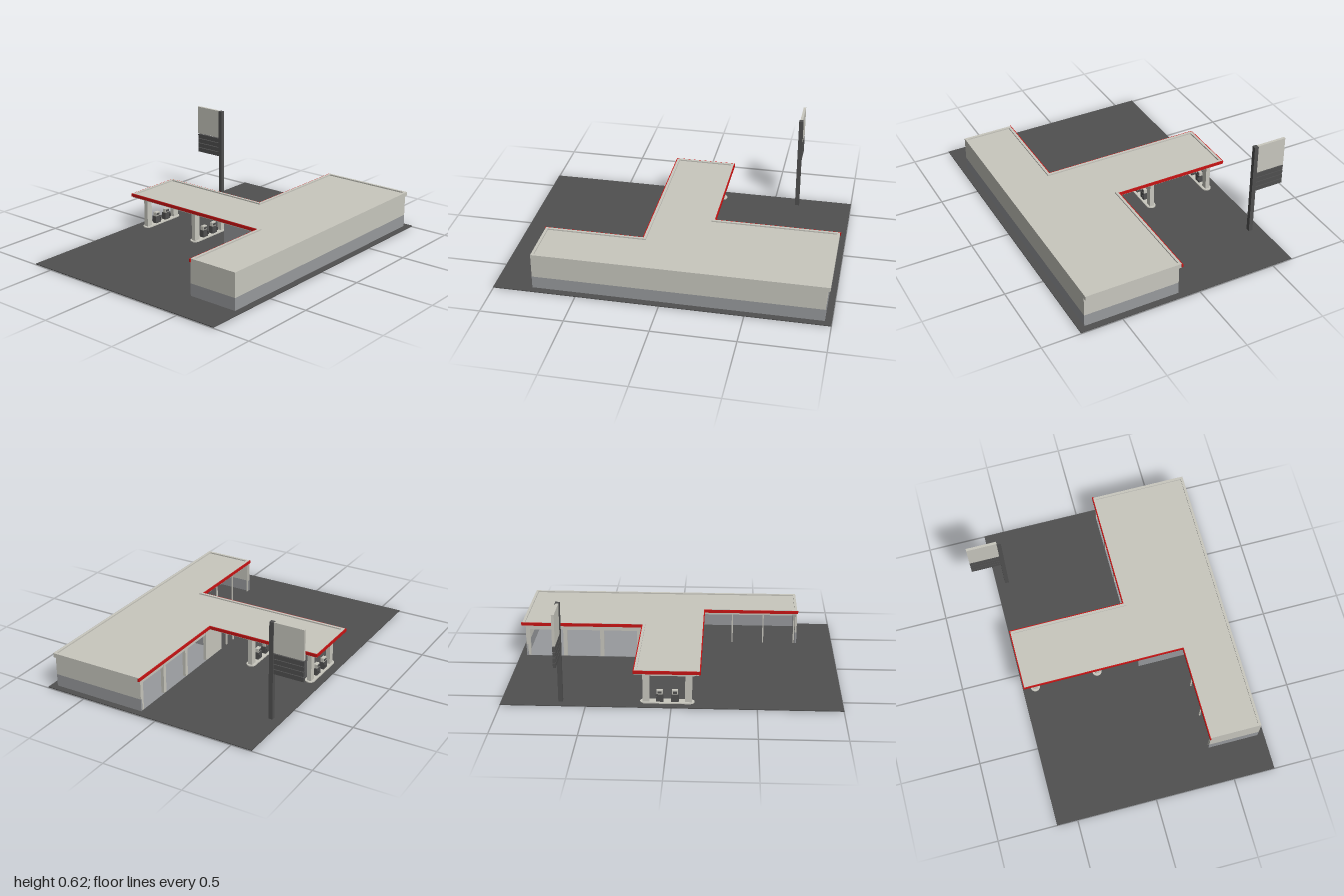
import * as THREE from 'three';

export function createModel() {
  const model = new THREE.Group();
  model.name = 'fillingStation';
  const mat = (name, color) => {
    const m = new THREE.MeshStandardMaterial({ color });
    m.name = name;
    return m;
  };
  const beige = mat('beige', 0xc8c7be);
  const dark = mat('asphalt', 0x505050);
  const grey = mat('wallGrey', 0x989a9d);
  const red = mat('red', 0xc81414);

  // box given by its min and max corners
  function box(name, m, x0, x1, y0, y1, z0, z1, parent = model) {
    const mesh = new THREE.Mesh(new THREE.BoxGeometry(x1 - x0, y1 - y0, z1 - z0), m);
    mesh.position.set((x0 + x1) / 2, (y0 + y1) / 2, (z0 + z1) / 2);
    mesh.name = name;
    parent.add(mesh);
    return mesh;
  }
  // horizontal slab from an outline in x, z
  function slab(name, m, outline, y0, y1, hole) {
    const pts = o => o.map(([x, z]) => new THREE.Vector2(x, -z));
    const shape = new THREE.Shape(pts(outline));
    if (hole) shape.holes.push(new THREE.Path(pts(hole)));
    const g = new THREE.ExtrudeGeometry(shape, { depth: y1 - y0, bevelEnabled: false });
    g.rotateX(-Math.PI / 2);
    const mesh = new THREE.Mesh(g, m);
    mesh.position.y = y0;
    mesh.name = name;
    model.add(mesh);
  }

  // forecourt
  box('forecourt', dark, -1, 1, 0.003, 0.008, -0.63, 0.76);
  box('garageFloor', grey, 0.08, 0.96, 0.001, 0.01, 0.12, 0.72);

  // roof with raised rim
  const roofOutline = d => [
    [-0.77 + d, 0.72 - d], [0.98 - d, 0.72 - d], [0.98 - d, 0.115 + d], [0.215 - d, 0.115 + d],
    [0.215 - d, -0.62 + d], [-0.165 + d, -0.62 + d], [-0.165 + d, 0.4 + d], [-0.77 + d, 0.4 + d],
  ];
  slab('roofRim', beige, roofOutline(0), 0.208, 0.235, roofOutline(0.016));
  slab('roofDeck', beige, roofOutline(0.015), 0.21, 0.227);

  // red fascia along the forecourt edges
  const edge = roofOutline(0).slice(2);
  for (let i = 0; i < edge.length - 1; i++) {
    const [ax, az] = edge[i], [bx, bz] = edge[i + 1], t = 0.006;
    box('redFascia', red, Math.min(ax, bx) - t, Math.max(ax, bx) + t, 0.214, 0.233,
      Math.min(az, bz) - t, Math.max(az, bz) + t * 0.5);
  }

  // outer walls: grey base, beige upper band
  const w = 0.012;
  function wall(name, x0, x1, z0, z1) {
    box(name + 'Base', grey, x0, x1, 0.009, 0.085, z0, z1);
    box(name + 'Upper', beige, x0, x1, 0.085, 0.21, z0, z1);
  }
  wall('shopFrontWall', -0.77, 0.08, 0.72 - w, 0.72);
  wall('garageFrontWall', 0.08, 0.96, 0.72 - w, 0.72);
  wall('garageEndWall', 0.96 - w, 0.96, 0.12, 0.72 - w);
  wall('shopEndWall', -0.77, -0.77 + w, 0.4, 0.72 - w);

  // inner walls
  box('dividerWall', grey, 0.08, 0.08 + w, 0.009, 0.21, 0.12, 0.72 - w);
  box('shopSideWall', grey, -0.14, -0.14 + w, 0.009, 0.21, 0.12, 0.72 - w);

  // garage bays
  for (const x of [0.24, 0.475, 0.71, 0.945])
    box('bayPost', beige, x - 0.012, x + 0.012, 0.009, 0.21, 0.12, 0.14);
  box('bayHeader', beige, 0.08, 0.957, 0.185, 0.21, 0.122, 0.138);
  box('bayPier', beige, 0.08, 0.23, 0.009, 0.21, 0.12, 0.14);

  // shop entrance frame and porch posts
  for (const x of [-0.13, -0.08, 0, 0.075])
    box('entrancePost', beige, x - 0.005, x + 0.005, 0.008, 0.21, 0.12, 0.13);
  for (const x of [-0.75, -0.55, -0.35])
    box('porchPost', beige, x - 0.004, x + 0.004, 0.008, 0.21, 0.402, 0.41);

  // pump islands with canopy columns and pumps
  for (const z of [-0.145, -0.55]) {
    const island = new THREE.Group();
    island.name = 'pumpIsland';
    island.position.set(0.025, 0, z);
    model.add(island);
    const kerb = new THREE.Shape();
    kerb.absarc(0.13, 0, 0.03, -Math.PI / 2, Math.PI / 2);
    kerb.absarc(-0.13, 0, 0.03, Math.PI / 2, Math.PI * 1.5);
    const g = new THREE.ExtrudeGeometry(kerb, { depth: 0.014, bevelEnabled: false, curveSegments: 8 });
    g.rotateX(-Math.PI / 2);
    const base = new THREE.Mesh(g, beige);
    base.name = 'kerb';
    island.add(base);
    for (const s of [-1, 1]) {
      const x = s * 0.125, p = s * 0.045;
      box('canopyColumn', beige, x - 0.02, x + 0.02, 0.01, 0.212, -0.014, 0.014, island);
      box('pumpBody', dark, p - 0.022, p + 0.022, 0.014, 0.06, -0.015, 0.015, island);
      box('pumpHead', beige, p - 0.018, p + 0.018, 0.06, 0.085, -0.011, 0.011, island);
      for (const f of [-1, 1]) {
        box('pumpScreen', dark, p - 0.012, p + 0.012, 0.066, 0.079, f * 0.012 - 0.002, f * 0.012 + 0.002, island);
        box('nozzle', dark, p + 0.014, p + 0.02, 0.03, 0.05, f * 0.02 - 0.005, f * 0.02 + 0.005, island);
      }
    }
  }

  // price sign
  box('signPole', dark, 0.638, 0.664, 0, 0.62, -0.573, -0.547);
  box('signBoard', beige, 0.643, 0.659, 0.432, 0.62, -0.762, -0.573);
  for (let i = 0; i < 4; i++)
    box('pricePanel', dark, 0.643, 0.659, 0.3 + i * 0.0325, 0.328 + i * 0.0325, -0.762, -0.573);

  return model;
}
